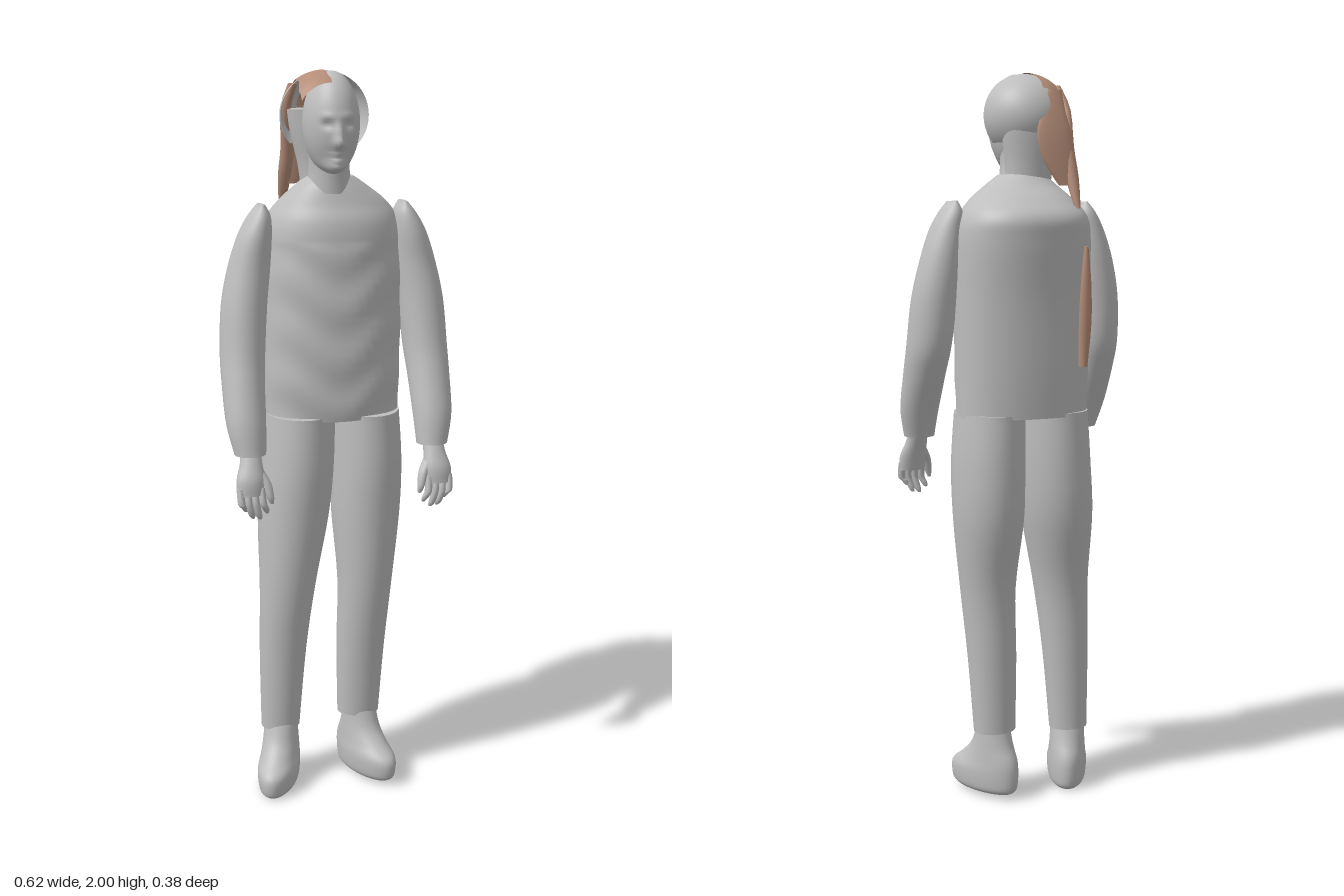
import * as THREE from 'three';

const grey = new THREE.MeshStandardMaterial({ color: 0xbebebe, side: THREE.DoubleSide });
grey.name = 'plain grey';
const brown = new THREE.MeshStandardMaterial({ color: 0xb48d78, side: THREE.DoubleSide });
brown.name = 'hair brown';

// Smooth skin through elliptical sections [y, cx, cz, rx, rz], listed from bottom to top
function loft(rows, { sides = 36, steps = 5, power = 2, caps = true } = {}) {
  const pos = [], index = [], n = (rows.length - 1) * steps;
  const cubic = (a, b, c, d, t) =>
    b + 0.5 * t * (c - a + t * (2 * a - 5 * b + 4 * c - d + t * (3 * (b - c) + d - a)));
  const row = i => rows[Math.min(Math.max(i, 0), rows.length - 1)];
  const ring = k => {
    const i = Math.min(Math.floor(k / steps), rows.length - 2), t = k / steps - i;
    return rows[0].map((_, j) => cubic(row(i - 1)[j], row(i)[j], row(i + 1)[j], row(i + 2)[j], t));
  };
  const bend = v => Math.sign(v) * Math.abs(v) ** (2 / power);
  const addRing = ([y, cx, cz, rx, rz]) => {
    for (let j = 0; j < sides; j++) {
      const a = (j / sides) * Math.PI * 2;
      pos.push(cx + rx * bend(Math.sin(a)), y, cz + rz * bend(Math.cos(a)));
    }
  };
  for (let k = 0; k <= n; k++) addRing(ring(k));
  for (let k = 0; k < n; k++) for (let j = 0; j < sides; j++) {
    const a = k * sides + j, b = k * sides + (j + 1) % sides;
    index.push(a, b, a + sides, b, b + sides, a + sides);
  }
  if (caps) for (const k of [0, n]) {
    const r = ring(k), base = pos.length / 3;
    addRing(r);
    pos.push(r[1], r[0], r[2]);
    for (let j = 0; j < sides; j++) {
      const a = base + j, b = base + (j + 1) % sides;
      index.push(base + sides, ...(k ? [a, b] : [b, a]));
    }
  }
  const g = new THREE.BufferGeometry();
  g.setAttribute('position', new THREE.Float32BufferAttribute(pos, 3));
  g.setIndex(index);
  g.computeVertexNormals();
  return g;
}

// Move every vertex by a rule
function reshape(g, rule) {
  const p = g.attributes.position, v = new THREE.Vector3();
  for (let i = 0; i < p.count; i++) {
    rule(v.fromBufferAttribute(p, i));
    p.setXYZ(i, v.x, v.y, v.z);
  }
  g.computeVertexNormals();
  return g;
}

export function createModel() {
  const model = new THREE.Group();
  const add = (name, geometry, material = grey, parent = model) => {
    const m = new THREE.Mesh(geometry, material);
    m.name = name;
    parent.add(m);
    return m;
  };

  // Sweater with sloping shoulders and slight cloth folds
  const torso = loft([
    [1.085, 0.005, -0.025, 0.185, 0.122], [1.2, 0.005, -0.025, 0.187, 0.132],
    [1.4, 0.008, -0.03, 0.188, 0.142], [1.55, 0.01, -0.04, 0.186, 0.152],
    [1.615, 0.01, -0.043, 0.175, 0.151], [1.66, 0.008, -0.03, 0.145, 0.122],
    [1.7, 0, -0.008, 0.1, 0.088], [1.73, -0.006, 0.003, 0.062, 0.066],
  ], { sides: 56, steps: 8, power: 2.2 });
  add('sweater', reshape(torso, v => {
    if (v.z > 0 && v.y < 1.55) v.z += 0.003 * Math.sin(v.y * 45 + Math.cos(v.x * 20) * 2);
  }));

  // Trouser legs
  add('rightTrouserLeg', loft([
    [0.17, -0.15, -0.005, 0.055, 0.048], [0.4, -0.142, 0, 0.066, 0.062],
    [0.6, -0.128, 0.005, 0.078, 0.08], [0.8, -0.107, -0.012, 0.098, 0.112],
    [0.95, -0.094, -0.015, 0.1, 0.123], [1.095, -0.086, -0.018, 0.096, 0.122],
  ]));
  add('leftTrouserLeg', loft([
    [0.19, 0.08, -0.005, 0.06, 0.048], [0.4, 0.085, 0, 0.069, 0.062],
    [0.6, 0.095, 0.005, 0.077, 0.08], [0.8, 0.1, -0.012, 0.095, 0.112],
    [0.95, 0.102, -0.015, 0.097, 0.123], [1.095, 0.098, -0.018, 0.092, 0.122],
  ]));

  // Shoes with toes turned out
  for (const [name, x, y, yaw] of [['rightShoe', -0.15, 0, -0.42], ['leftShoe', 0.085, 0.015, 0.42]]) {
    const shoe = add(name, loft([
      [0, 0, 0.03, 0.043, 0.1], [0.015, 0, 0.03, 0.053, 0.114], [0.06, 0, 0.028, 0.057, 0.116],
      [0.095, 0, 0.01, 0.053, 0.093], [0.135, 0, 0, 0.05, 0.065], [0.19, 0, -0.003, 0.047, 0.045],
    ]));
    shoe.position.set(x, y, 0);
    shoe.rotation.y = yaw;
  }

  // Sleeves and hands, mirrored
  for (const s of [-1, 1]) {
    const side = s < 0 ? 'right' : 'left';
    const mirror = rows => rows.map(([y, cx, ...rest]) => [y, cx * s, ...rest]);
    add(side + 'Sleeve', loft(mirror([
      [1.02, 0.25, 0.122, 0.042, 0.038], [1.1, 0.256, 0.1, 0.053, 0.05],
      [1.2, 0.255, 0.062, 0.057, 0.062], [1.28, 0.251, 0.036, 0.06, 0.068],
      [1.4, 0.242, 0.02, 0.061, 0.066], [1.5, 0.226, 0.012, 0.056, 0.061],
      [1.58, 0.21, 0.012, 0.045, 0.057], [1.63, 0.197, 0.01, 0.03, 0.048],
      [1.66, 0.192, 0.01, 0.01, 0.03],
    ])));
    const hand = new THREE.Group();
    hand.name = side + 'Hand';
    model.add(hand);
    add('palm', loft(mirror([
      [0.92, 0.258, 0.162, 0.036, 0.02], [0.96, 0.256, 0.155, 0.038, 0.025],
      [1.0, 0.252, 0.14, 0.03, 0.025], [1.04, 0.25, 0.122, 0.027, 0.025],
    ]), { sides: 20 }), grey, hand);
    for (let i = 0; i < 4; i++) {
      const x = 0.229 + i * 0.019, tip = 0.868 - [0, 0.015, 0.012, -0.008][i];
      add('finger' + (i + 1), loft(mirror([
        [tip, x - 0.014, 0.166, 0.004, 0.004], [tip + 0.012, x - 0.01, 0.17, 0.009, 0.009],
        [0.9, x - 0.002, 0.173, 0.01, 0.011], [0.94, x, 0.162, 0.01, 0.014],
      ]), { sides: 12 }), grey, hand);
    }
    add('thumb', loft(mirror([
      [0.895, 0.203, 0.17, 0.005, 0.005], [0.915, 0.207, 0.17, 0.01, 0.011],
      [0.95, 0.216, 0.16, 0.013, 0.014], [0.985, 0.236, 0.145, 0.014, 0.015],
    ]), { sides: 12 }), grey, hand);
  }

  // Neck, and the back of the head that runs down to the collar
  add('neck', loft([
    [1.69, -0.01, 0.015, 0.062, 0.07], [1.75, -0.013, 0.025, 0.053, 0.065],
    [1.83, -0.015, 0.035, 0.055, 0.065],
  ]));
  add('nape', loft([
    [1.69, -0.015, -0.02, 0.062, 0.047], [1.76, -0.018, -0.022, 0.068, 0.05],
    [1.84, -0.022, -0.022, 0.083, 0.058], [1.9, -0.024, -0.02, 0.09, 0.06],
  ]));

  // Face: an egg with bumps [x, y, width, height, depth]
  const features = [
    [0, 1.822, 0.012, 0.014, 0.022], [0, 1.845, 0.009, 0.022, 0.014],
    [-0.028, 1.868, 0.013, 0.01, -0.01], [0.028, 1.868, 0.013, 0.01, -0.01],
    [-0.026, 1.889, 0.02, 0.007, 0.004], [0.026, 1.889, 0.02, 0.007, 0.004],
    [0, 1.793, 0.018, 0.005, 0.007], [0, 1.778, 0.016, 0.005, 0.007],
    [0, 1.755, 0.035, 0.022, 0.03],
  ];
  const face = new THREE.SphereGeometry(1, 64, 56);
  face.scale(0.073, 0.13, 0.092);
  face.translate(0, 1.868, 0.056);
  add('face', reshape(face, v => {
    if (v.z < 0.06) return;
    const { x, y } = v, front = Math.min(1, (v.z - 0.06) / 0.03);
    for (const [fx, fy, w, h, d] of features)
      v.z += front * d * Math.exp(-(((x - fx) / w) ** 2) - ((y - fy) / h) ** 2);
  })).position.x = -0.015;

  // Open half shell over the back of the head
  const shell = new THREE.SphereGeometry(1, 40, 28, Math.PI, Math.PI, 0, Math.PI * 0.72);
  shell.scale(0.117, 0.112, 0.122);
  shell.translate(-0.025, 1.885, 0.03);
  add('headShell', shell);

  // Hair patch draped over the crown, with uneven edges
  const crown = new THREE.PlaneGeometry(1, 1, 10, 16).rotateX(-Math.PI / 2);
  add('crownHair', reshape(crown, v => {
    const t = v.z + 0.5, inset = 0.012 * Math.abs(Math.sin(t * 11));
    v.x = -0.065 + v.x * (0.09 - inset - 0.03 * (1 - t));
    v.z = -0.07 + t * 0.185;
    const d = 1 - ((v.x + 0.025) / 0.121) ** 2 - ((v.z - 0.03) / 0.127) ** 2;
    v.y = 1.886 + 0.114 * Math.sqrt(Math.max(0.02, d));
  }), brown);

  // Flat locks: sections are thin ellipses
  const lock = (name, rows) => add(name, loft(rows, { sides: 12, steps: 3 }), brown);
  lock('wideBackLock', [
    [1.7, -0.085, -0.112, 0.022, 0.006], [1.76, -0.068, -0.106, 0.045, 0.008],
    [1.83, -0.058, -0.096, 0.052, 0.01], [1.89, -0.06, -0.086, 0.035, 0.006],
    [1.95, -0.07, -0.07, 0.02, 0.005],
  ]);
  lock('sideLock', [
    [1.64, -0.105, -0.14, 0.008, 0.006], [1.72, -0.103, -0.11, 0.018, 0.016],
    [1.8, -0.1, -0.085, 0.018, 0.02], [1.9, -0.112, -0.045, 0.014, 0.022],
    [1.965, -0.1, -0.01, 0.012, 0.022],
  ]);
  lock('looseBackLock', [
    [1.22, -0.125, -0.135, 0.012, 0.014], [1.34, -0.125, -0.148, 0.018, 0.014],
    [1.45, -0.122, -0.158, 0.014, 0.012], [1.54, -0.118, -0.166, 0.005, 0.008],
  ]);
  return model;
}
